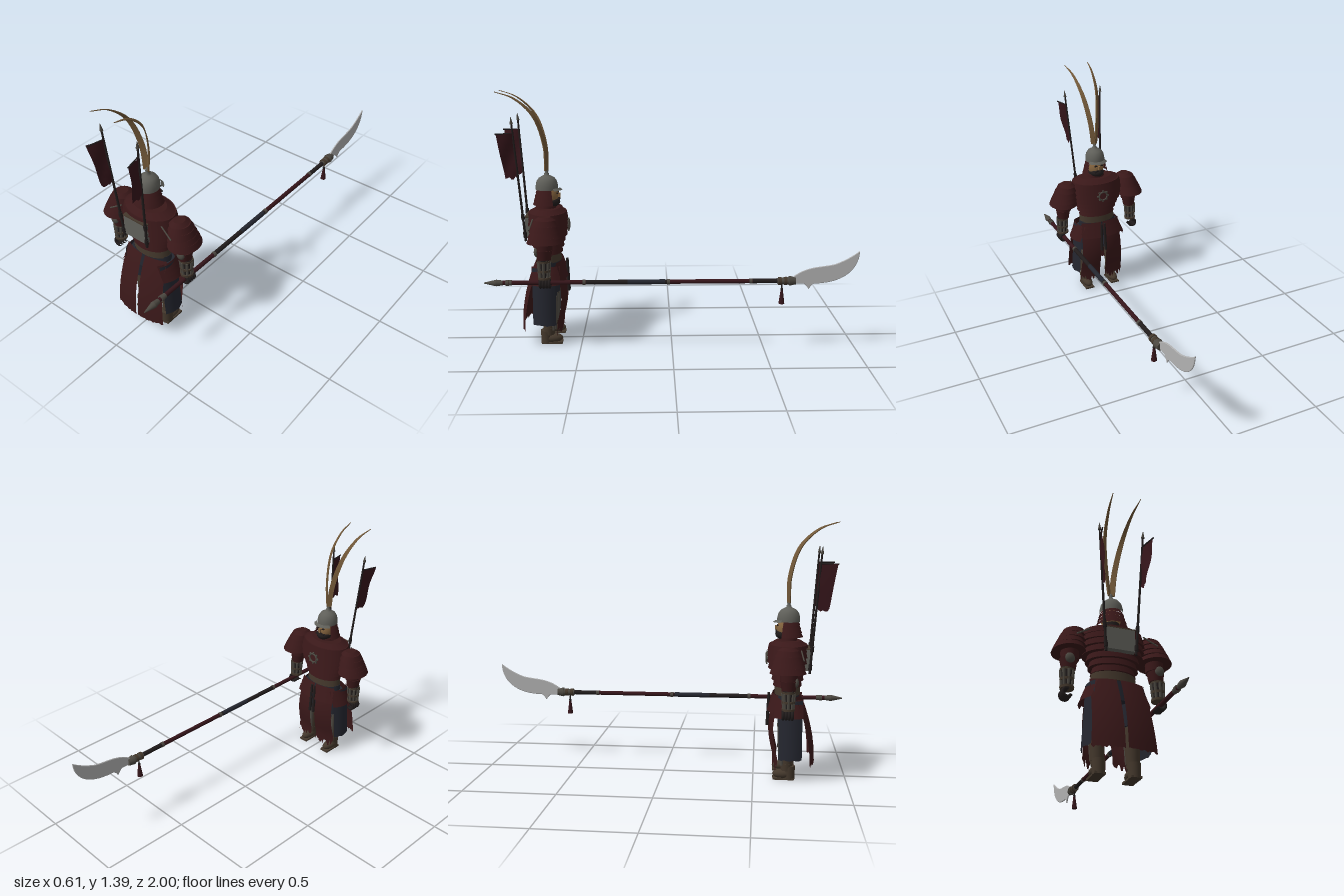
import * as THREE from 'three';

const mat = (name, color, side = THREE.FrontSide) => {
  const m = new THREE.MeshStandardMaterial({ color, side });
  m.name = name;
  return m;
};

export function createModel() {
  const red = mat('lacquer red', 0x3a1819, THREE.DoubleSide);
  const darkRed = mat('dark cloth red', 0x35151a, THREE.DoubleSide);
  const iron = mat('dull iron', 0x5f5f59);
  const aged = mat('aged metal', 0x4b4740);
  const steel = mat('blade steel', 0xb2b2b2);
  const navy = mat('navy cloth', 0x24262f, THREE.DoubleSide);
  const leather = mat('brown leather', 0x44382c);
  const bronze = mat('bronze', 0x735939);
  const skin = mat('skin', 0x86653f);
  const black = mat('black', 0x211c1c);

  const root = new THREE.Group();
  root.name = 'armouredWarrior';
  const body = new THREE.Group();
  body.name = 'figure';
  body.position.z = 0.68; // the figure stands at the butt end of the polearm and looks along -z
  root.add(body);

  let seed = 7;
  const rand = () => (seed = (seed * 16807) % 2147483647) / 2147483647;
  const V = (x, y, z) => new THREE.Vector3(x, y, z);

  const add = (parent, name, geo, material, x = 0, y = 0, z = 0) => {
    const mesh = new THREE.Mesh(geo, material);
    mesh.name = name;
    mesh.position.set(x, y, z);
    parent.add(mesh);
    return mesh;
  };
  const box = (p, n, m, w, h, d, x, y, z) => add(p, n, new THREE.BoxGeometry(w, h, d), m, x, y, z);
  // Upright elliptical band between two heights
  const band = (p, n, m, yTop, yBot, rTop, rBot, depth, x = 0, z = 0) => {
    const g = new THREE.CylinderGeometry(rTop, rBot, yTop - yBot, 24).scale(1, 1, depth);
    return add(p, n, g, m, x, (yTop + yBot) / 2, z);
  };
  // Round rod between two points
  const rod = (p, n, m, a, b, ra, rb, sides = 12) => {
    const d = b.clone().sub(a);
    const mesh = add(p, n, new THREE.CylinderGeometry(rb, ra, d.length(), sides), m);
    mesh.position.copy(a).add(b).multiplyScalar(0.5);
    mesh.quaternion.setFromUnitVectors(V(0, 1, 0), d.normalize());
    return mesh;
  };
  // Cloth or plate sheet: f(u, v) gives a point, v = 1 at the top edge; rag frays the hem
  const sheet = (p, n, m, nu, nv, f, rag = 0) => {
    const g = new THREE.PlaneGeometry(1, 1, nu, nv);
    const a = g.attributes.position;
    for (let i = 0; i < a.count; i++) {
      const v = a.getY(i) + 0.5;
      const q = f(a.getX(i) + 0.5, v);
      a.setXYZ(i, q.x, q.y + (v < 0.01 ? (rand() - 0.5) * rag : 0), q.z);
    }
    g.computeVertexNormals();
    return add(p, n, g, m);
  };
  const mix = THREE.MathUtils.lerp;

  // Torso: overlapping lacquered rows
  const rows = [0.111, 0.123, 0.135, 0.152, 0.16, 0.163, 0.158];
  rows.forEach((r, i) => {
    const y = 0.505 + i * 0.032;
    band(body, 'torsoRow', red, y + 0.034, y, r - 0.008, r + 0.002, 0.69);
  });
  band(body, 'upperChest', red, 0.752, 0.728, 0.1, 0.15, 0.68);
  band(body, 'collar', red, 0.768, 0.745, 0.05, 0.055, 0.9);
  band(body, 'neck', black, 0.79, 0.75, 0.04, 0.042, 1);
  band(body, 'belt', leather, 0.505, 0.46, 0.11, 0.113, 0.62);
  band(body, 'hips', navy, 0.465, 0.36, 0.115, 0.12, 0.55);
  box(body, 'backPlate', iron, 0.145, 0.115, 0.03, 0, 0.653, 0.101);
  box(body, 'backPlateLip', leather, 0.152, 0.006, 0.032, 0, 0.712, 0.101);
  add(body, 'chestRing', new THREE.TorusGeometry(0.026, 0.005, 8, 20), aged, 0, 0.655, -0.115);
  for (let k = 0; k < 8; k++) {
    const a = (k * Math.PI) / 4;
    box(body, 'chestRingRay', aged, 0.01, 0.01, 0.008, Math.cos(a) * 0.032, 0.655 + Math.sin(a) * 0.032, -0.113);
  }

  // Head with mask and helmet
  add(body, 'head', new THREE.SphereGeometry(0.052, 20, 16).scale(0.9, 1.25, 1), skin, 0, 0.815, -0.01);
  add(body, 'faceMask', new THREE.SphereGeometry(0.048, 16, 10).scale(0.9, 0.65, 1), black, 0, 0.785, -0.023);
  box(body, 'nose', skin, 0.012, 0.024, 0.016, 0, 0.82, -0.064);
  for (const s of [1, -1]) {
    box(body, 'eye', black, 0.016, 0.007, 0.008, s * 0.019, 0.833, -0.058);
    const tache = box(body, 'moustache', black, 0.03, 0.008, 0.008, s * 0.015, 0.802, -0.065);
    tache.rotation.z = -s * 0.4;
  }
  const dome = [[0.057, 0], [0.057, 0.02], [0.052, 0.045], [0.04, 0.064], [0.02, 0.076], [0.012, 0.08],
    [0.012, 0.088], [0.007, 0.094], [0.01, 0.1], [0.007, 0.112], [0, 0.122]].map(([x, y]) => new THREE.Vector2(x, y));
  add(body, 'helmetBowl', new THREE.LatheGeometry(dome, 24), iron, 0, 0.852, 0).scale.z = 1.08;
  const brim = add(body, 'helmetBrim', new THREE.CylinderGeometry(0.056, 0.07, 0.012, 16, 1, true, 2.1, 2.08), iron, 0, 0.856, -0.006);
  brim.scale.z = 1.1;
  // Neck guard rows flare out and step over each other, open at the face
  for (let i = 0; i < 4; i++) {
    const g = new THREE.CylinderGeometry(0.05 + i * 0.006, 0.062 + i * 0.0055, 0.025, 24, 1, true, -2.1, 4.2);
    add(body, 'neckGuardRow', g, red, 0, 0.849 - i * 0.022, 0);
  }

  for (const s of [1, -1]) {
    // Sweeping crest horn, its flat face turned forward and outward
    const path = new THREE.CatmullRomCurve3([V(s * 0.007, 0.955, 0), V(s * 0.021, 1.09, 0.002),
      V(s * 0.046, 1.255, 0.055), V(s * 0.062, 1.35, 0.155), V(s * 0.074, 1.385, 0.252)]);
    const horn = new THREE.BoxGeometry(1, 1, 1, 1, 24, 1);
    const hp = horn.attributes.position;
    for (let i = 0; i < hp.count; i++) {
      const t = hp.getY(i) + 0.5;
      const c = path.getPoint(t);
      const across = V(0.8, 0, s * 0.6);
      const out = across.clone().cross(path.getTangent(t)).normalize();
      c.addScaledVector(across, hp.getX(i) * (0.003 + 0.026 * Math.sin(Math.PI * Math.min(1, 0.35 + t * 0.65))));
      c.addScaledVector(out, hp.getZ(i) * mix(0.007, 0.003, t));
      hp.setXYZ(i, c.x, c.y, c.z);
    }
    horn.computeVertexNormals();
    add(body, 'crestHorn', horn, bronze);

    // Back banner on a pole
    const low = V(s * 0.075, 0.58, 0.114), high = V(s * 0.114, 1.22, 0.162);
    const along = (y) => low.clone().lerp(high, (y - 0.58) / 0.64);
    rod(body, 'bannerPole', black, low, high, 0.007, 0.005, 8);
    rod(body, 'bannerTip', aged, high, V(s * 0.116, 1.258, 0.165), 0.009, 0.001, 8);
    for (const y of [0.6, 0.7]) rod(body, 'poleSocket', black, along(y), along(y + 0.03), 0.01, 0.01, 8);
    rod(body, 'bannerArm', black, along(1.17), V(s * 0.132, 1.168, 0.248), 0.004, 0.004, 8);
    sheet(body, 'banner', darkRed, 6, 8, (u, v) => {
      const p = along(mix(0.93, 1.17, v));
      p.z += u * mix(0.066, 0.086, v);
      p.x += s * u * (0.006 + 0.018 * v) + 0.005 * Math.sin(v * 7 + u * 4);
      return p;
    }, 0.025);

    // Layered shoulder guard
    const guard = [[0.737, 0.72, 0.028, 0.05, 0.192], [0.722, 0.69, 0.046, 0.062, 0.2],
      [0.694, 0.66, 0.056, 0.07, 0.207], [0.664, 0.632, 0.063, 0.077, 0.214], [0.638, 0.605, 0.07, 0.083, 0.22]];
    for (const [t, b, rt, rb, x] of guard) band(body, 'shoulderGuardRow', red, t, b, rt, rb, 1.15, s * x, -0.005);
    rod(body, 'shoulderCord', aged, V(s * 0.135, 0.712, 0.066), V(s * 0.205, 0.668, 0.078), 0.004, 0.004, 8);

    // Arm, elbow disc and gauntlet
    band(body, 'upperSleeve', red, 0.63, 0.56, 0.045, 0.043, 1.05, s * 0.216);
    band(body, 'lowerSleeve', red, 0.565, 0.51, 0.043, 0.034, 1.05, s * 0.222);
    add(body, 'elbowDisc', new THREE.SphereGeometry(0.024, 16, 10).scale(1, 1.1, 0.6), aged, s * 0.226, 0.556, 0.038);
    band(body, 'forearm', black, 0.515, 0.41, 0.032, 0.025, 1, s * 0.229);
    for (let k = 0; k < 8; k++) {
      const a = (k * Math.PI) / 4;
      rod(body, 'forearmSplint', aged, V(s * 0.229 + Math.cos(a) * 0.031, 0.502, Math.sin(a) * 0.031),
        V(s * 0.231 + Math.cos(a) * 0.026, 0.42, Math.sin(a) * 0.026), 0.008, 0.007, 6);
    }
    for (const y of [0.505, 0.455, 0.415]) band(body, 'forearmCuff', leather, y + 0.006, y - 0.006, 0.035, 0.034, 1, s * 0.23);
    for (let k = 0; k < 4; k++) {
      const finger = add(body, 'finger', new THREE.TorusGeometry(0.021, 0.008, 8, 16, 4.6), black, s * 0.235, 0.386, -0.027 + k * 0.016);
      finger.rotation.set(0, s > 0 ? Math.PI : 0, 1.2);
    }

    // Long rear skirt, front skirt and short front and side plates
    sheet(body, 'rearSkirt', red, 16, 8, (u, v) =>
      V(s * mix(mix(0.007, 0.01, v), mix(0.158, 0.133, v), u), mix(0.09, 0.46, v),
        mix(0.152, 0.07, v * v) - 0.03 * u * u), 0.012);
    sheet(body, 'frontSkirt', red, 18, 8, (u, v) =>
      V(s * mix(0.018, mix(0.14, 0.122, v), u), mix(0.075, 0.45, v),
        -0.066 - 0.03 * Math.sin(Math.PI * Math.min(1, 1.15 * (1 - v))) - 0.01 * (1 - v) + 0.025 * u * u), 0.05);
    for (let k = 0; k < 3; k++) {
      const y = 0.465 - k * 0.03;
      sheet(body, 'frontPlateRow', red, 6, 1, (u, v) =>
        V(s * mix(0.004, 0.122 + k * 0.005, u), y - (1 - v) * 0.034, -0.079 - k * 0.009 - (1 - v) * 0.012 + 0.03 * u * u));
      sheet(body, 'sidePlateRow', red, 8, 1, (u, v) =>
        V(s * (0.134 + k * 0.012 + (1 - v) * 0.016 - 0.03 * (2 * u - 1) ** 2), y - 0.02 - (1 - v) * 0.036, mix(-0.07, 0.085, u)));
    }
    sheet(body, 'sideCloth', navy, 8, 6, (u, v) =>
      V(s * (mix(0.165, 0.14, v) - 0.022 * (2 * u - 1) ** 2), mix(0.12, 0.44, v), mix(-0.045, 0.08, u)), 0.01);
    rod(body, 'frontSash', black, V(s * 0.01, 0.46, -0.1), V(s * 0.013, 0.28, -0.106), 0.007, 0.009, 8);

    // Leg, shin guard and boot
    band(body, 'thigh', navy, 0.43, 0.25, 0.052, 0.045, 1, s * 0.08);
    band(body, 'shin', leather, 0.27, 0.05, 0.042, 0.03, 1, s * 0.087);
    for (const a of [-0.7, 0, 0.7]) {
      rod(body, 'shinSplint', aged, V(s * 0.087 + Math.sin(a) * 0.038, 0.27, -Math.cos(a) * 0.038),
        V(s * 0.087 + Math.sin(a) * 0.03, 0.08, -Math.cos(a) * 0.032), 0.011, 0.009, 8);
    }
    band(body, 'ankleCuff', leather, 0.09, 0.07, 0.034, 0.033, 1, s * 0.087);
    band(body, 'heel', leather, 0.075, 0, 0.031, 0.029, 1.05, s * 0.087, 0.015);
    add(body, 'boot', new THREE.SphereGeometry(0.031, 16, 10).scale(0.95, 0.85, 1.85), leather, s * 0.087, 0.029, -0.018);
    box(body, 'sole', leather, 0.054, 0.01, 0.115, s * 0.087, 0.005, -0.016);
  }

  // Polearm, lying level along z in the hand
  const arm = new THREE.Group();
  arm.name = 'polearm';
  arm.position.set(0.234, 0.39, 0);
  root.add(arm);
  const seg = (n, m, z0, z1, r0, r1 = r0) => rod(arm, n, m, V(0, 0, z0), V(0, 0, z1), r0, r1);
  seg('shaft', darkRed, 0.92, -0.6, 0.012);
  seg('shaftWrap', black, 0.46, 0.03, 0.0125);
  seg('shaftWrapCord', navy, 0.24, 0.04, 0.0135);
  seg('shaftWrap', black, -0.43, -0.56, 0.0125);
  for (const z of [0.86, 0.47, 0.02, -0.42]) seg('shaftRing', aged, z + 0.008, z - 0.008, 0.0145);
  seg('buttKnob', aged, 0.885, 0.87, 0.017);
  seg('buttCone', aged, 0.935, 0.9, 0.018, 0.013);
  seg('buttSpike', aged, 1.0, 0.935, 0.003, 0.018);
  seg('headSocket', aged, -0.56, -0.63, 0.016, 0.022);
  for (const z of [-0.575, -0.605]) seg('headRing', leather, z + 0.008, z - 0.008, 0.022);
  seg('headCollar', aged, -0.625, -0.66, 0.027, 0.02);
  // Curved blade with a rear barb
  const b = new THREE.Shape();
  b.moveTo(0.645, -0.015);
  b.lineTo(0.645, 0.022);
  b.bezierCurveTo(0.73, 0.085, 0.79, 0.07, 0.87, 0.09);
  b.quadraticCurveTo(0.94, 0.115, 1.0, 0.162);
  b.bezierCurveTo(1.0, 0.07, 0.93, -0.015, 0.76, -0.016);
  b.quadraticCurveTo(0.742, -0.024, 0.732, -0.048);
  b.quadraticCurveTo(0.72, -0.03, 0.705, -0.016);
  b.closePath();
  const blade = new THREE.ExtrudeGeometry(b, { depth: 0.004, bevelEnabled: true, bevelSize: 0.003, bevelThickness: 0.002,
    bevelOffset: -0.003, bevelSegments: 1, curveSegments: 14 });
  add(arm, 'blade', blade.translate(0, 0, -0.002).rotateY(Math.PI / 2), steel);
  // Tassel hanging below the head
  rod(arm, 'tasselCord', black, V(0, -0.045, -0.587), V(0, -0.01, -0.587), 0.004, 0.004, 6);
  add(arm, 'tasselKnot', new THREE.SphereGeometry(0.008, 10, 8), black, 0, -0.047, -0.587);
  rod(arm, 'tassel', darkRed, V(0, -0.127, -0.587), V(0, -0.05, -0.587), 0.016, 0.006, 10);

  return root;
}
